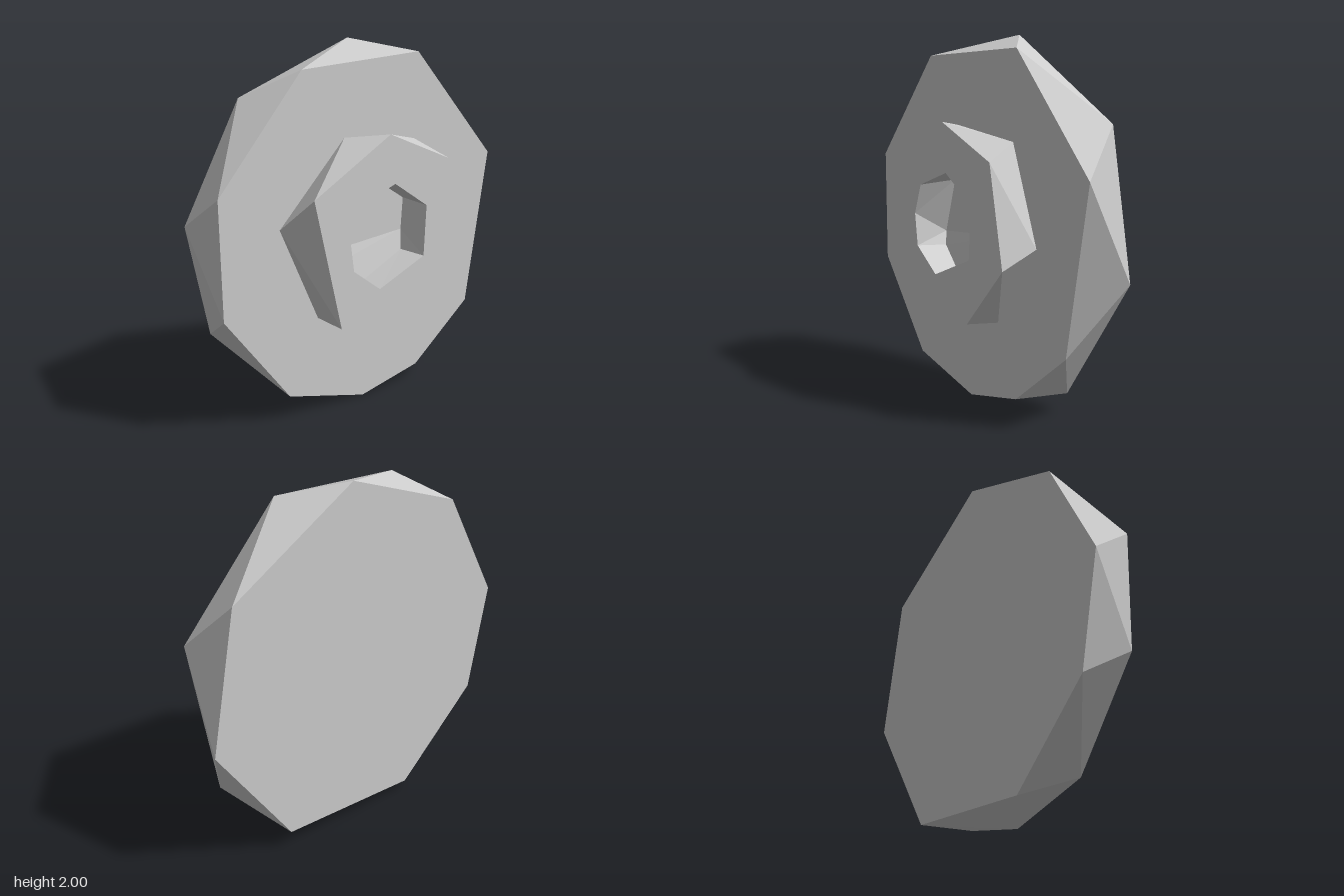
import * as THREE from 'three';
import { ConvexGeometry } from 'three/addons/geometries/ConvexGeometry.js';

const FRONT = 0.23, MID = 0.025, BACK = -0.225;
const ring = (points, z) => points.map(([x, y]) => new THREE.Vector3(x, y, z));

// Flat-shaded geometry from a list of corner vectors, three per triangle
function triangles(corners) {
  const g = new THREE.BufferGeometry().setFromPoints(corners);
  g.computeVertexNormals();
  return g;
}

// Join two clockwise rings with triangles, always taking the shorter diagonal
function stitch(a, b, inward = false) {
  const out = [], n = a.length, m = b.length;
  let i = 0, j = 0;
  while (i < n || j < m) {
    const A = a[i % n], B = b[j % m], A1 = a[(i + 1) % n], B1 = b[(j + 1) % m];
    const stepA = j === m || (i < n && A1.distanceTo(B) < A.distanceTo(B1));
    const tri = stepA ? [A, A1, B] : [A, B1, B];
    out.push(...(inward ? tri.reverse() : tri));
    if (stepA) i++; else j++;
  }
  return triangles(out);
}

// Fan that faces forward, from a clockwise outline
function fan(p) {
  const out = [];
  for (let i = 1; i < p.length - 1; i++) out.push(p[0], p[i + 1], p[i]);
  return triangles(out);
}

export function createModel() {
  const group = new THREE.Group();
  const grey = new THREE.MeshStandardMaterial({ color: 0xcccccc });
  grey.name = 'stone grey';
  const add = (name, geometry) => {
    const mesh = new THREE.Mesh(geometry, grey);
    mesh.name = name;
    group.add(mesh);
  };

  // Wide disc: two rough polygons whose corners alternate
  const discFront = ring([[-0.42, 1.89], [0.38, 1.925], [0.955, 1.29], [0.795, 0.39], [0.39, 0.08],
    [-0.02, 0], [-0.53, 0.14], [-0.93, 0.66], [-0.94, 1.3]], MID);
  const discBack = ring([[0.08, 2], [0.835, 1.55], [0.98, 0.77], [0.515, 0.1], [-0.35, 0.05],
    [-0.86, 0.51], [-0.985, 1.12], [-0.64, 1.74]], BACK);
  add('disc', new ConvexGeometry([...discFront, ...discBack]));

  // Raised hub
  const hubFront = [[0, 1.54], [0.43, 1.355], [0.54, 0.815], [0.23, 0.485], [-0.335, 0.54], [-0.505, 1.265]];
  const hubBase = [[-0.145, 1.51], [0.355, 1.445], [0.555, 0.91], [0.23, 0.465], [-0.335, 0.545], [-0.575, 1.08]];
  add('hubWall', stitch(ring(hubFront, FRONT), ring(hubBase, MID)));

  // Hub face with the socket opening
  const rim = [[0.035, 1.27], [0.265, 1.115], [0.248, 0.83], [-0.07, 0.705], [-0.25, 0.84],
    [-0.275, 1.02], [-0.215, 1.185]];
  const face = new THREE.Shape(hubFront.map(p => new THREE.Vector2(...p)));
  face.holes.push(new THREE.Path(rim.map(p => new THREE.Vector2(...p))));
  add('hubFace', new THREE.ShapeGeometry(face).translate(0, 0, FRONT));

  // Socket: inward walls, a flat floor and a sloping lower floor
  const floor = [[0.04, 1.27, 0.03], [0.27, 1.12, 0.03], [0.255, 0.94, 0.03], [0.235, 0.83, 0.055],
    [-0.075, 0.71, 0.08], [-0.235, 0.83, 0.05], [-0.26, 0.905, 0.03], [-0.17, 1.205, 0.03]]
    .map(p => new THREE.Vector3(...p));
  add('socketWall', stitch(ring(rim, FRONT), floor, true));
  add('socketFloor', fan([0, 1, 2, 6, 7].map(i => floor[i])));
  add('socketRamp', fan([2, 3, 4, 5, 6].map(i => floor[i])));
  return group;
}
